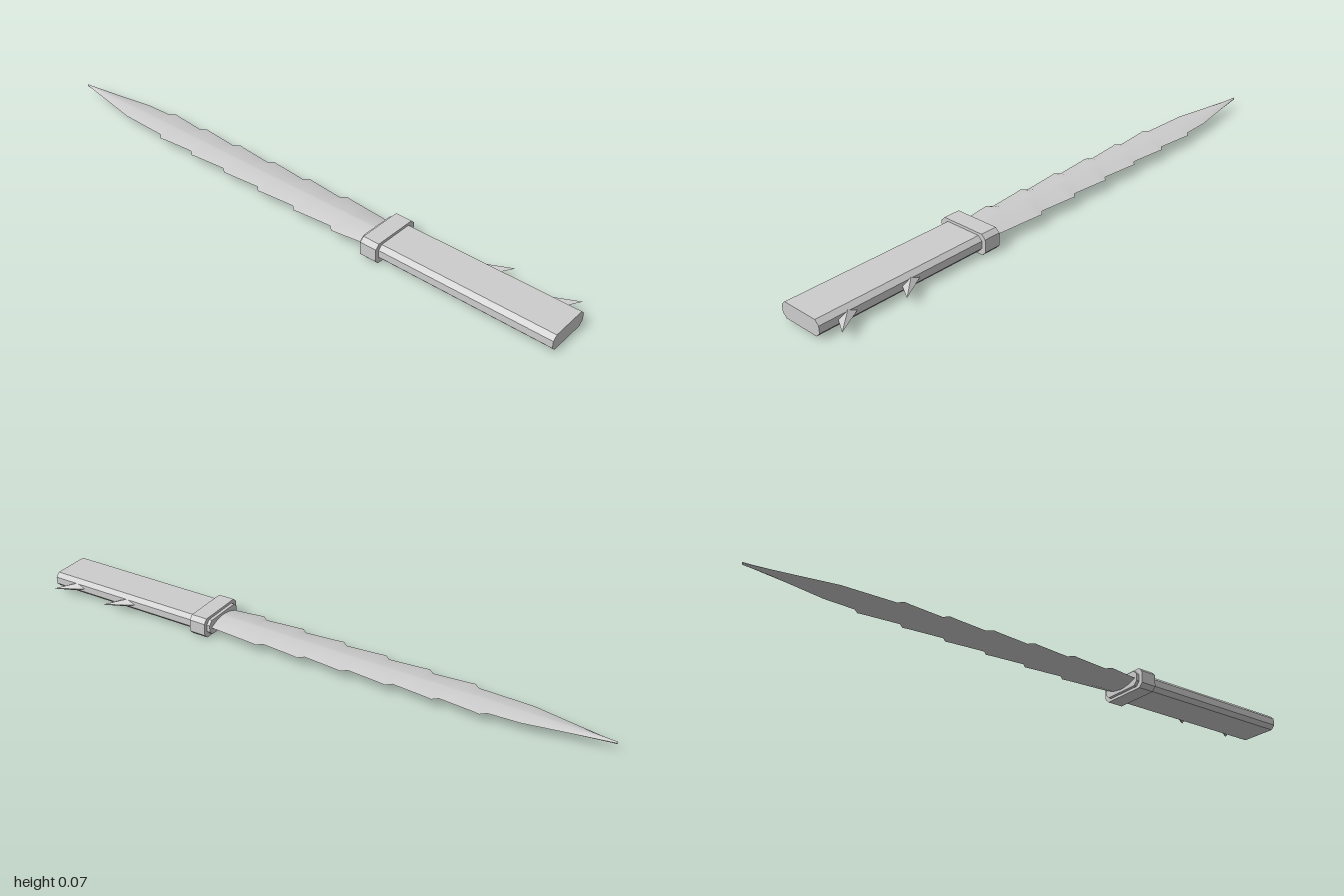
import * as THREE from 'three';

const CX = -0.021, CY = 0.036; // long axis of the weapon

// Bar along z with chamfered long edges
function chamferedBar(w, h, c, z0, z1) {
  const a = w / 2, b = h / 2;
  const s = new THREE.Shape([
    [-a + c, -b], [a - c, -b], [a, -b + c], [a, b - c],
    [a - c, b], [-a + c, b], [-a, b - c], [-a, -b + c],
  ].map(([x, y]) => new THREE.Vector2(x, y)));
  const g = new THREE.ExtrudeGeometry(s, { depth: z1 - z0, bevelEnabled: false });
  return g.translate(CX, CY, z0);
}

// Half-width of one edge as [z, width] pairs: backswept teeth, then a long point
function edgeProfile(firstStep) {
  const pts = [[0.345, 0.068]];
  for (let i = 0; i < 6; i++) {
    const z = firstStep - i * 0.154, peak = 0.084 - i * 0.0025;
    pts.push([z + 0.02, peak - 0.003], [z, peak], [z - 0.018, peak - 0.016]);
  }
  pts.push([-0.73, 0.051], [-0.86, 0.027], [-1, 0.002]);
  return pts;
}

function sample(pts, z) {
  for (let i = 1; i < pts.length; i++) {
    const [za, wa] = pts[i - 1], [zb, wb] = pts[i];
    if (z >= zb) return wa + (wb - wa) * (za - z) / (za - zb);
  }
  return pts[pts.length - 1][1];
}

// One face of the blade (side = 1 upper, -1 lower), lofted along z
function bladeFace(side) {
  const left = edgeProfile(0.235), right = edgeProfile(0.16);
  const thick = [[0.345, 0.017], [0.07, 0.0135], [-0.77, 0.008], [-1, 0.004]];
  const zs = [...new Set([...left, ...right].map(p => p[0]))].sort((a, b) => b - a);
  const pos = [], idx = [], n = 6;
  for (const z of zs) {
    const l = sample(left, z), r = sample(right, z), h = sample(thick, z);
    const k = Math.min(0.004, l * 0.3);
    const xs = [-l, -l * 0.55, -k, k, r * 0.55, r];
    const ys = [0, 0.7, 1, 1, 0.7, 0];
    xs.forEach((x, i) => pos.push(CX + x, CY + side * h * ys[i], z));
  }
  for (let j = 0; j < zs.length - 1; j++) {
    for (let i = 0; i < n - 1; i++) {
      const a = j * n + i, b = a + 1, c = a + n, d = c + 1;
      if (side > 0) idx.push(a, b, c, b, d, c);
      else idx.push(a, c, b, b, c, d);
    }
  }
  const g = new THREE.BufferGeometry();
  g.setAttribute('position', new THREE.Float32BufferAttribute(pos, 3));
  g.setIndex(idx);
  g.computeVertexNormals();
  return g;
}

// Four-sided thorn, sheared so that its point sweeps towards the pommel
function thorn(z) {
  const len = 0.056;
  const g = new THREE.ConeGeometry(1, len, 4).toNonIndexed();
  g.translate(0, len / 2, 0);
  const p = g.attributes.position;
  for (let i = 0; i < p.count; i++) {
    const t = p.getY(i), u = p.getX(i), v = p.getZ(i);
    p.setXYZ(i, 0.054 + t, CY - u * 0.015, z + v * 0.034 + t / len * 0.066);
  }
  g.computeVertexNormals();
  return g;
}

export function createModel() {
  const model = new THREE.Group();
  const grey = new THREE.MeshStandardMaterial({ color: 0xcccccc });
  grey.name = 'light grey';
  const add = (name, geometry) => {
    const m = new THREE.Mesh(geometry, grey);
    m.name = name;
    model.add(m);
  };

  // Grip and guard
  add('grip', chamferedBar(0.156, 0.052, 0.014, 0.343, 1));
  add('guard', chamferedBar(0.184, 0.07, 0.014, 0.354, 0.412));

  // Serrated blade
  add('bladeUpperFace', bladeFace(1));
  add('bladeLowerFace', bladeFace(-1));

  // Blunt end of the blade point
  const end = new THREE.CircleGeometry(1, 4).scale(0.002, 0.004, 1).rotateY(Math.PI);
  add('bladePoint', end.translate(CX, CY, -1));

  // Thorns on the left side of the grip
  for (const z of [0.682, 0.902]) add('gripThorn', thorn(z));

  return model;
}
